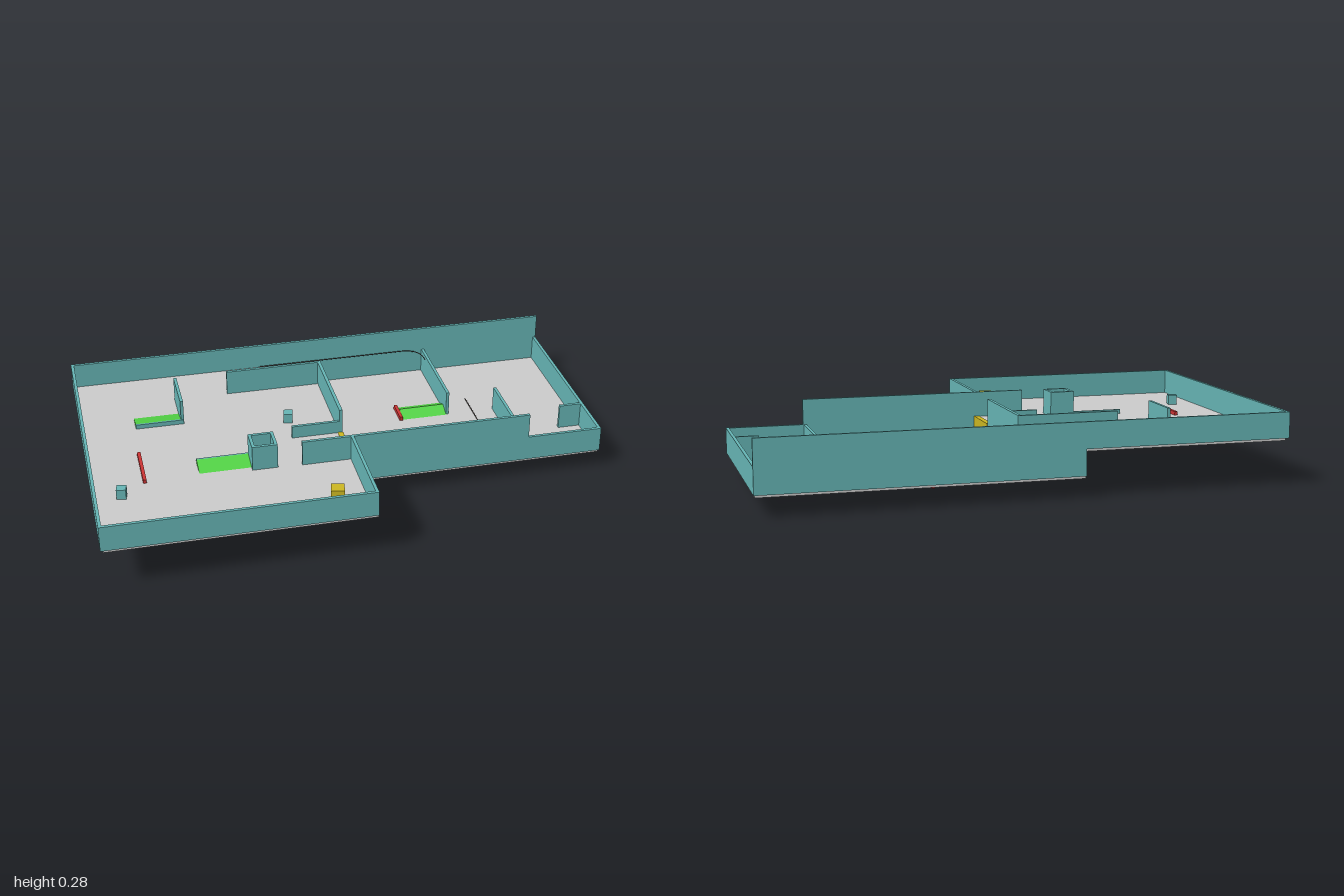
import * as THREE from 'three';

const mat = (name, color) => {
  const m = new THREE.MeshStandardMaterial({ color });
  m.name = name;
  return m;
};

export function createModel() {
  const group = new THREE.Group();
  const teal = mat('wallTeal', 0x66b5b5);
  const grey = mat('floorGrey', 0xcbcbcb);
  const green = mat('rampGreen', 0x52d345);
  const red = mat('gateRed', 0xcb3333);
  const yellow = mat('keyYellow', 0xccb722);
  const dark = mat('railDark', 0x5a524e);

  const add = (name, geometry, material) => {
    const mesh = new THREE.Mesh(geometry, material);
    mesh.name = name;
    group.add(mesh);
    return mesh;
  };
  // Box given by its lower and upper limits on each axis
  const block = (name, material, x0, x1, y0, y1, z0, z1) =>
    add(name, new THREE.BoxGeometry(x1 - x0, y1 - y0, z1 - z0), material)
      .position.set((x0 + x1) / 2, (y0 + y1) / 2, (z0 + z1) / 2);

  // Floor slabs cut from a plan outline of [x, z] points
  const slab = (name, plan, y) => {
    const shape = new THREE.Shape(plan.map(([x, z]) => new THREE.Vector2(x, -z)));
    const g = new THREE.ExtrudeGeometry(shape, { depth: 0.01, bevelEnabled: false });
    add(name, g.rotateX(-Math.PI / 2), grey).position.y = y;
  };
  slab('upperFloor', [[-0.99, -0.59], [-0.2, -0.59], [-0.2, -0.4], [0, -0.4], [0, 0.595], [-0.99, 0.595]], 0.17);
  slab('lowerFloor', [[-0.2, -0.59], [0.995, -0.59], [0.995, 0.2], [0, 0.2], [0, -0.41], [-0.2, -0.41]], 0.07);

  // Walls: x0, x1, y0, y1, z0, z1
  const U = 0.18, L = 0.08, T = 0.28;
  const walls = {
    leftOuterWall: [-1, -0.988, U, T, -0.6, 0.6],
    backUpperWall: [-1, -0.2, U, T, -0.6, -0.588],
    backLowerWall: [-0.2, 1, L, T, -0.6, -0.588],
    frontUpperWall: [-1, 0, U, T, 0.588, 0.6],
    sideUpperWall: [-0.012, 0, U, T, 0.2, 0.6],
    frontInnerWall: [-0.2, 0, U, T, 0.194, 0.206],
    frontHighWall: [0, 0.7, L, T, 0.194, 0.206],
    frontLowWall: [0.7, 1, L, U, 0.194, 0.206],
    rightOuterWall: [0.988, 1, L, U, -0.6, 0.206],
    dividerWall: [-0.012, 0.001, U, T, -0.406, 0.006],
    stepRiser: [-0.012, 0.001, L, U, -0.406, 0.194],
    rampSideWall: [-0.2, 0, L, U, -0.406, -0.394],
    rampRail: [-0.39, 0, U, T, -0.406, -0.394],
    passageWall: [-0.2, -0.006, L, 0.23, -0.006, 0.006],
    upperPartition: [-0.606, -0.594, U, T, -0.395, -0.2],
    lowerPartitionA: [0.485, 0.497, L, U, -0.59, -0.2],
    lowerPartitionB: [0.685, 0.697, L, U, -0.2, 0.195],
    nookWall: [0.9, 0.99, L, U, -0.006, 0.006],
    flapBackA: [-0.785, -0.595, 0.11, 0.198, -0.205, -0.197],
    flapBackB: [-0.59, -0.39, 0.11, 0.198, 0.1, 0.108],
  };
  for (const [name, w] of Object.entries(walls)) block(name, teal, ...w);

  // Hollow square shaft
  const square = (C, r) => {
    const s = new C();
    s.moveTo(-r, -r).lineTo(r, -r).lineTo(r, r).lineTo(-r, r).closePath();
    return s;
  };
  const shaft = square(THREE.Shape, 0.049);
  shaft.holes.push(square(THREE.Path, 0.037));
  add('shaft', new THREE.ExtrudeGeometry(shaft, { depth: 0.1, bevelEnabled: false }).rotateX(-Math.PI / 2), teal)
    .position.set(-0.342, U, 0.152);

  // Wedges: a [z, y] profile carried along x
  const wedge = (name, profile, x0, x1) => {
    const s = new THREE.Shape(profile.map(([z, y]) => new THREE.Vector2(-z, y)));
    const g = new THREE.ExtrudeGeometry(s, { depth: x1 - x0, bevelEnabled: false });
    add(name, g.rotateY(Math.PI / 2), green).position.x = x0;
  };
  wedge('backFlap', [[-0.28, U], [-0.205, U], [-0.205, 0.198]], -0.785, -0.606);
  wedge('frontFlap', [[0.108, U], [0.108, 0.198], [0.18, U]], -0.59, -0.39);
  wedge('ridgeFlap', [[-0.295, L], [-0.245, 0.102], [-0.195, L]], 0.3, 0.487);

  // Main ramp between the two floors
  const slope = new THREE.Shape([[-0.2, 0.081], [0.018, 0.081], [-0.2, U]].map(([x, y]) => new THREE.Vector2(x, y)));
  add('mainRamp', new THREE.ExtrudeGeometry(slope, { depth: 0.175, bevelEnabled: false }), green).position.z = -0.583;

  // Sunken gates
  block('upperGate', red, -0.803, -0.79, 0.1, 0.195, 0, 0.2);
  block('lowerGate', red, 0.287, 0.3, 0, 0.097, -0.29, -0.19);
  block('passageGate', yellow, -0.018, 0.003, 0.1, 0.182, 0.007, 0.193);

  // Loose cubes, slightly turned
  for (const [name, material, size, x, y, z] of [
    ['cubeA', teal, 0.036, -0.19, U, -0.125],
    ['cubeB', teal, 0.036, 0.467, L, 0.09],
    ['cubeC', teal, 0.036, -0.89, U, 0.273],
    ['keyCube', yellow, 0.05, -0.124, U, 0.473],
  ]) {
    const cube = add(name, new THREE.BoxGeometry(size, size * 1.1, size), material);
    cube.position.set(x, y + size * 0.6, z);
    cube.rotation.y = -0.2;
  }

  // Thin guide rails with one rounded bend: start, bend begin, corner, bend end, finish
  const rail = (name, y, points) => {
    const [a, b, c, d, e] = points.map(([x, z]) => new THREE.Vector3(x, y, z));
    const path = new THREE.CurvePath();
    path.add(new THREE.LineCurve3(a, b));
    path.add(new THREE.QuadraticBezierCurve3(b, c, d));
    path.add(new THREE.LineCurve3(d, e));
    add(name, new THREE.TubeGeometry(path, 40, 0.002, 5), dark);
  };
  rail('backRail', 0.186, [[-0.22, -0.58], [0.39, -0.58], [0.47, -0.58], [0.472, -0.5], [0.472, -0.48]]);
  rail('floorRail', 0.083, [[0.4, 0], [0.5, 0], [0.598, 0], [0.598, -0.1], [0.598, -0.3]]);

  return group;
}
